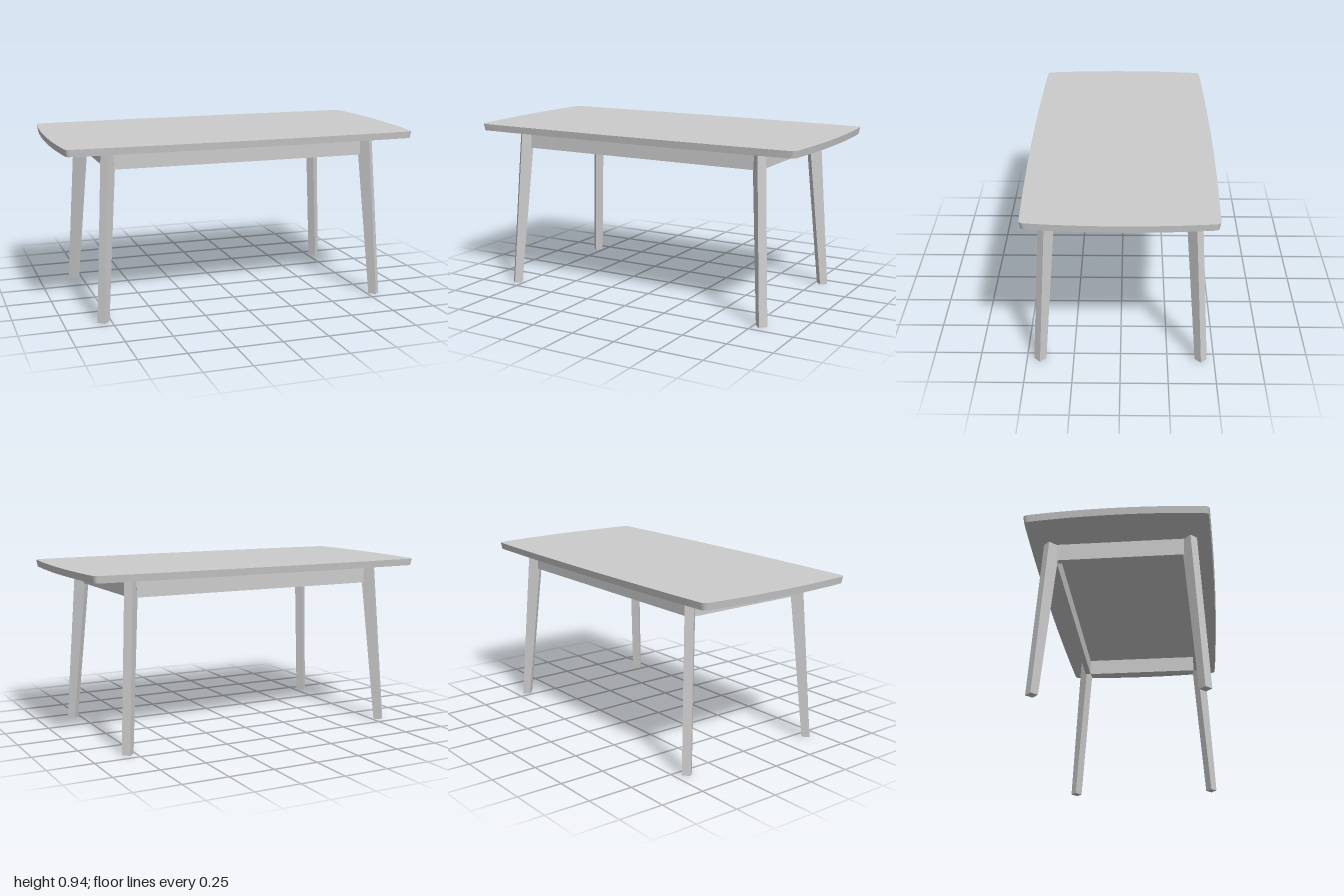
import * as THREE from 'three';
import { toCreasedNormals } from 'three/addons/utils/BufferGeometryUtils.js';

const TOP_Y = 0.94, UNDER_Y = 0.902;

// Boat-shaped slab with bowed sides, small rounded corners and a slight undercut
function tabletopGeometry() {
  const s = new THREE.Shape();
  s.moveTo(-0.95, -0.484);
  s.quadraticCurveTo(0, -0.516, 0.95, -0.484);
  s.quadraticCurveTo(0.973, -0.483, 0.976, -0.455);
  s.quadraticCurveTo(1.024, 0, 0.976, 0.455);
  s.quadraticCurveTo(0.973, 0.483, 0.95, 0.484);
  s.quadraticCurveTo(0, 0.516, -0.95, 0.484);
  s.quadraticCurveTo(-0.973, 0.483, -0.976, 0.455);
  s.quadraticCurveTo(-1.024, 0, -0.976, -0.455);
  s.quadraticCurveTo(-0.973, -0.483, -0.95, -0.484);
  const geo = new THREE.ExtrudeGeometry(s, { depth: TOP_Y - UNDER_Y, bevelEnabled: false, curveSegments: 16 });
  geo.rotateX(-Math.PI / 2).translate(0, UNDER_Y, 0);
  const p = geo.attributes.position;
  for (let i = 0; i < p.count; i++) {
    if (p.getY(i) < (TOP_Y + UNDER_Y) / 2) p.setXYZ(i, p.getX(i) * 0.994, p.getY(i), p.getZ(i) * 0.988);
  }
  return toCreasedNormals(geo, 0.5);
}

// Splayed leg set diagonally; its depth tapers towards the floor
function legGeometry(sx, sz) {
  const geo = new THREE.BoxGeometry(1, 1, 1).toNonIndexed();
  const p = geo.attributes.position, half = 0.0165;
  for (let i = 0; i < p.count; i++) {
    const across = Math.sign(p.getX(i)) * half;
    const top = p.getY(i) > 0;
    const inward = p.getZ(i) > 0 ? 0 : (top ? 0.05 : 0.032);
    const x = sx * (top ? 0.7575 : 0.809), z = sz * (top ? 0.394 : 0.446);
    p.setXYZ(i, x + across * sz - inward * sx, top ? UNDER_Y : 0, z - across * sx - inward * sz);
  }
  geo.computeVertexNormals();
  return geo;
}

export function createModel() {
  const table = new THREE.Group();
  table.name = 'table';
  const grey = new THREE.MeshStandardMaterial({ color: 0xcccccc });
  grey.name = 'light grey';

  const add = (name, geo, x = 0, y = 0, z = 0) => {
    const mesh = new THREE.Mesh(geo, grey);
    mesh.name = name;
    mesh.position.set(x, y, z);
    table.add(mesh);
  };

  add('tabletop', tabletopGeometry());

  // Apron rails between the legs
  const h = 0.097, y = UNDER_Y - h / 2, t = 0.032;
  for (const s of [1, -1]) {
    add(s > 0 ? 'frontApron' : 'backApron', new THREE.BoxGeometry(1.41, h, t), 0, y, s * (0.375 - t / 2));
    add(s > 0 ? 'leftApron' : 'rightApron', new THREE.BoxGeometry(t, h, 0.682), s * (0.738 - t / 2), y, 0);
  }

  for (const sz of [1, -1]) for (const sx of [1, -1]) {
    add((sz > 0 ? 'front' : 'back') + (sx > 0 ? 'Left' : 'Right') + 'Leg', legGeometry(sx, sz));
  }
  return table;
}
